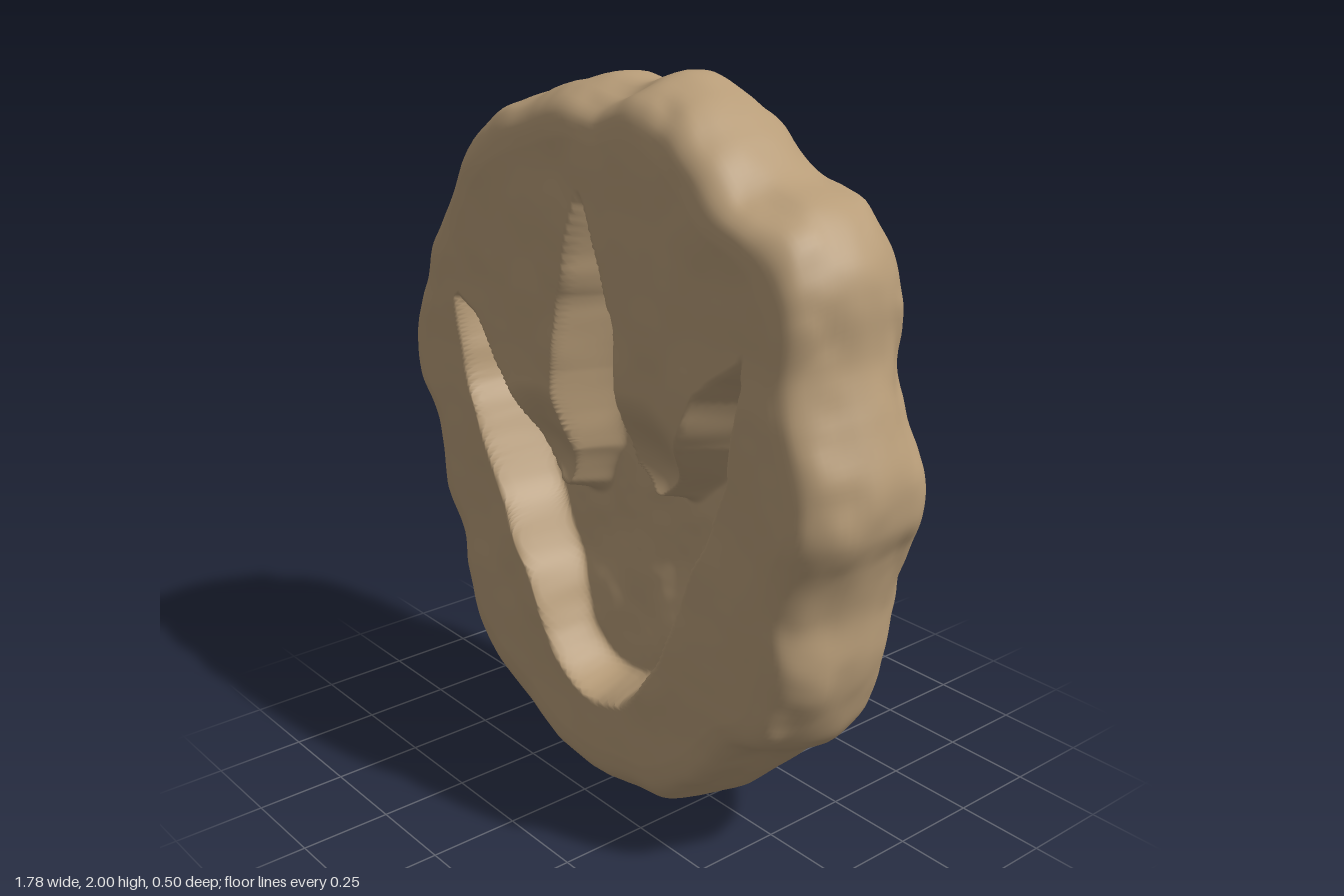
import * as THREE from 'three';

const SEGMENTS = 320;
const V2 = (p) => new THREE.Vector2(p[0], p[1]);
const step = THREE.MathUtils.smoothstep;

// Slab outline, clockwise from the top
const OUTLINE = [
  [0.18, 2.0], [0.3, 1.96], [0.42, 1.88], [0.53, 1.8], [0.66, 1.75], [0.75, 1.64], [0.78, 1.54],
  [0.78, 1.4], [0.83, 1.27], [0.88, 1.13], [0.88, 1.02], [0.84, 0.92], [0.8, 0.78], [0.8, 0.65],
  [0.77, 0.52], [0.71, 0.4], [0.61, 0.33], [0.51, 0.22], [0.38, 0.11], [0.25, 0.03], [0.1, 0.01],
  [-0.08, 0], [-0.22, 0.04], [-0.38, 0.11], [-0.52, 0.2], [-0.61, 0.31], [-0.65, 0.42], [-0.66, 0.55],
  [-0.74, 0.69], [-0.77, 0.83], [-0.8, 0.96], [-0.88, 1.05], [-0.89, 1.15], [-0.85, 1.28], [-0.8, 1.38],
  [-0.77, 1.48], [-0.69, 1.6], [-0.61, 1.73], [-0.49, 1.84], [-0.35, 1.9], [-0.2, 1.94], [-0.07, 1.98], [0.05, 1.97],
];

// Footprint rim: the sides between the toes first, then round the heel
const INNER = [
  [-0.6, 1.33], [-0.51, 1.28], [-0.42, 1.17], [-0.34, 1.11], [-0.26, 1.0], [-0.19, 0.88], [-0.155, 0.98],
  [-0.14, 1.2], [-0.11, 1.42], [-0.06, 1.58], [-0.02, 1.71], [0.05, 1.57], [0.11, 1.4], [0.13, 1.2],
  [0.145, 1.02], [0.19, 0.96], [0.27, 1.04], [0.34, 1.12], [0.42, 1.27], [0.5, 1.34], [0.585, 1.41],
];
const OUTER = [
  [0.585, 1.31], [0.55, 1.14], [0.5, 0.99], [0.42, 0.8], [0.34, 0.6], [0.25, 0.44], [0.13, 0.32], [0, 0.285],
  [-0.1, 0.31], [-0.18, 0.39], [-0.28, 0.58], [-0.41, 0.8], [-0.53, 1.04], [-0.58, 1.2],
];
const RIM = [...INNER, ...new THREE.SplineCurve(OUTER.map(V2)).getPoints(30).map((p) => [p.x, p.y])].map(V2);
// Tips of the two webs between the toes
const WEB_TIPS = [[-0.2, 0.92], [0.2, 0.99]].map(V2);

// Smooth value noise, about -1 to 1
function hash(x, y, z) {
  const h = Math.sin(x * 127.1 + y * 311.7 + z * 74.7) * 43758.5453;
  return (h - Math.floor(h)) * 2 - 1;
}
function noise(x, y, z) {
  const f = [x, y, z].map(Math.floor);
  const [u, v, w] = [x - f[0], y - f[1], z - f[2]].map((t) => t * t * t * (t * (t * 6 - 15) + 10));
  let sum = 0;
  for (let i = 0; i < 8; i++) {
    const a = i & 1, b = (i >> 1) & 1, c = i >> 2;
    sum += hash(f[0] + a, f[1] + b, f[2] + c) * (a ? u : 1 - u) * (b ? v : 1 - v) * (c ? w : 1 - w);
  }
  return sum;
}
const rough = (x, y, z, f) => noise(x * f, y * f, z * f) + 0.4 * noise(x * f * 2 + 9, y * f * 2, z * f * 2) + 0.08 * noise(x * f * 4, y * f * 4 + 5, z * f * 4);

// Depth of the footprint at a point on the face
function printDepth(x, y) {
  let inside = false, best = Infinity, edge = 0;
  for (let i = 0; i < RIM.length; i++) {
    const a = RIM[i], b = RIM[(i + 1) % RIM.length];
    if ((a.y > y) !== (b.y > y) && x < a.x + ((y - a.y) / (b.y - a.y)) * (b.x - a.x)) inside = !inside;
    const dx = b.x - a.x, dy = b.y - a.y;
    const t = THREE.MathUtils.clamp(((x - a.x) * dx + (y - a.y) * dy) / (dx * dx + dy * dy), 0, 1);
    const d = Math.hypot(x - a.x - dx * t, y - a.y - dy * t);
    if (d < best) { best = d; edge = i; }
  }
  // The webs sink towards their tips
  const droop = Math.max(...WEB_TIPS.map((p) => 0.11 * (1 - step(Math.hypot(x - p.x, y - p.y), 0, 0.24))));
  if (!inside) return droop;
  const wall = edge < INNER.length - 1 ? 0.08 : 0.05;
  const floor = 0.15 + 0.06 * step(y, 0.35, 0.95);
  const t = Math.min(best / wall, 1);
  return Math.max(droop, floor * (0.6 * Math.sin((t * Math.PI) / 2) + 0.4 * step(t, 0, 1)));
}

// Half cross-section from the face centre, round the edge, to the back centre
function crossSection() {
  const rows = [];
  for (let i = 0; i < 95; i++) rows.push([0.002 + (0.86 - 0.002) * (i / 95), 0.235]);
  const edge = new THREE.SplineCurve([
    [0.86, 0.235], [0.925, 0.22], [0.97, 0.17], [1, 0.07], [0.998, -0.03], [0.965, -0.115], [0.905, -0.17],
    [0.82, -0.2], [0.7, -0.215],
  ].map(V2));
  for (const p of edge.getPoints(38)) rows.push([p.x, p.y]);
  for (let i = 1; i <= 32; i++) rows.push([0.7 - 0.698 * (i / 32), -0.215 - 0.01 * (i / 32)]);
  return rows;
}

function slabGeometry() {
  const curve = new THREE.CatmullRomCurve3(OUTLINE.map(([x, y]) => new THREE.Vector3(x, y, 0)), true);
  const rows = crossSection();
  const positions = [], index = [];
  rows.forEach(([s, z0], i) => {
    for (let j = 0; j < SEGMENTS; j++) {
      const p = curve.getPoint(j / SEGMENTS);
      // Lumps and chips round the edge
      const side = step(s, 0.75, 1);
      const k = s + side * 0.022 * rough(p.x, p.y, z0 * 1.5, 5) * (1 - step(s, 0.985, 1) * 0.6);
      const x = p.x * k, y = 1 + (p.y - 1) * k;
      // Gentle ripples on the face, heavier lumps on the back
      const front = step(z0, 0, 0.22), back = 1 - step(z0, -0.2, 0);
      let z = z0 + front * 0.011 * rough(x, y, 3, 4);
      z += back * 0.026 * rough(x * 0.85 + y * 0.3, y - x * 0.3, 8, 5);
      // Footprint, with slightly uneven walls
      if (z0 > 0.2) {
        const wx = 0.008 * noise(x * 11, y * 11, 2.5), wy = 0.008 * noise(x * 11, y * 11, 7.5);
        z -= printDepth(x + wx, y + wy) * (1 + 0.06 * rough(x, y, 5, 6));
      }
      positions.push(x, y, z);
      if (i < rows.length - 1) {
        const a = i * SEGMENTS + j, c = i * SEGMENTS + ((j + 1) % SEGMENTS);
        const b = a + SEGMENTS, d = c + SEGMENTS;
        index.push(a, c, b, c, d, b);
      }
    }
  });
  const geometry = new THREE.BufferGeometry();
  geometry.setAttribute('position', new THREE.Float32BufferAttribute(positions, 3));
  geometry.setIndex(index);
  // Stand it on the ground, centred
  geometry.computeBoundingBox();
  const { min, max } = geometry.boundingBox;
  geometry.translate(-(min.x + max.x) / 2, -min.y, -(min.z + max.z) / 2);
  geometry.computeVertexNormals();
  return geometry;
}

export function createModel() {
  const group = new THREE.Group();
  group.name = 'fossilFootprint';
  const stone = new THREE.MeshStandardMaterial({ color: 0xb79c78 });
  stone.name = 'sandstone';
  const slab = new THREE.Mesh(slabGeometry(), stone);
  slab.name = 'stoneSlabWithFootprint';
  group.add(slab);
  return group;
}
